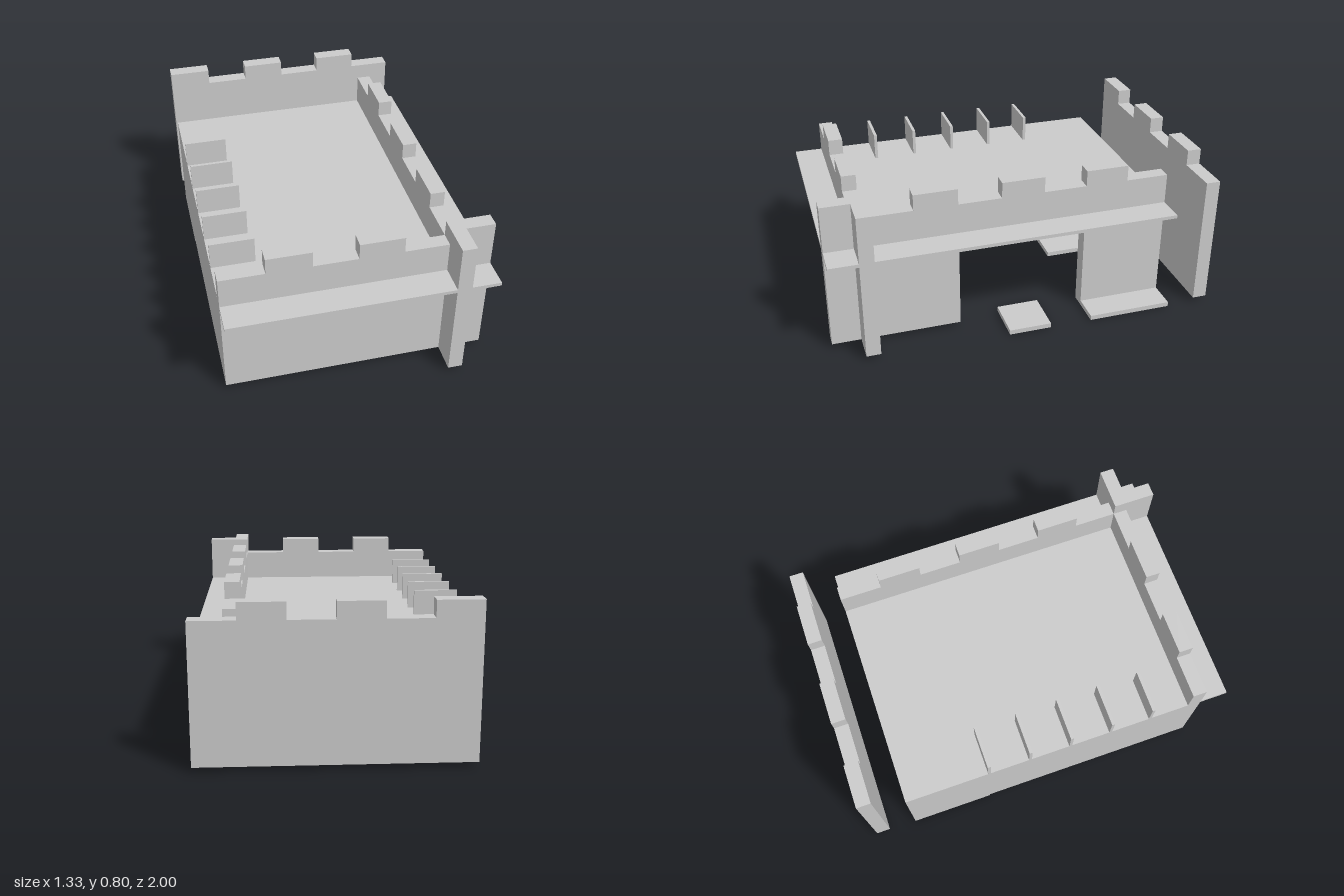
import * as THREE from 'three';

const U = 2 / 9;          // battlement module
const T = U / 3;          // wall thickness
const BASE = 0.025;       // underside of the walls
const FLOOR = 0.54;       // underside of the floor slab
const DECK = 0.558;       // top of the floor slab
const LOW = 0.717, HIGH = 0.8;

export function createModel() {
  const group = new THREE.Group();
  const mat = new THREE.MeshStandardMaterial({ color: 0xcccccc, flatShading: true });

  const add = (name, geometry) => {
    const mesh = new THREE.Mesh(geometry, mat);
    mesh.name = name;
    group.add(mesh);
    return mesh;
  };

  // Box given by its limits on each axis
  const box = (name, x0, x1, y0, y1, z0, z1) =>
    add(name, new THREE.BoxGeometry(x1 - x0, y1 - y0, z1 - z0))
      .position.set((x0 + x1) / 2, (y0 + y1) / 2, (z0 + z1) / 2);

  // Wall outline with one battlement cell per pattern digit (1 = raised)
  const wall = (name, start, pattern, opening) => {
    const end = start + pattern.length * U;
    const pts = [[start, BASE]];
    if (opening) {
      pts.push([opening[0], BASE], [opening[0], FLOOR], [opening[1], FLOOR], [opening[1], BASE]);
    }
    pts.push([end, BASE]);
    for (let i = pattern.length - 1; i >= 0; i--) {
      const y = pattern[i] === '1' ? HIGH : LOW;
      pts.push([start + (i + 1) * U, y], [start + i * U, y]);
    }
    const shape = new THREE.Shape(pts.map(([u, y]) => new THREE.Vector2(u, y)));
    return add(name, new THREE.ExtrudeGeometry(shape, { depth: T, bevelEnabled: false }));
  };

  // Battlemented walls
  wall('frontWall', -3 * U, '01010').position.z = 3.5 * U;
  wall('backWall', -3 * U, '101010').position.z = -1;
  const side = wall('openSideWall', -3.5 * U, '0101010', [-1.5 * U, 1.5 * U]);
  side.rotation.y = Math.PI / 2;
  side.position.x = 2 * U;

  // Plain wall below the floor
  box('plainSideWall', -3 * U, -3 * U + T, BASE, FLOOR, -3.5 * U, 3.5 * U);

  // Floor slab, projecting past the front and open side
  box('floorSlab', -3 * U, 3 * U, FLOOR, DECK, -3.5 * U, 1);

  // Corner buttress: two crossing arms
  box('buttressFrontArm', 2 * U, 2 * U + T, BASE, HIGH, 3.5 * U, 1);
  box('buttressSideArm', 2 * U + T, 3 * U, BASE, HIGH, 3.5 * U, 3.5 * U + T);

  // Thin upright fins along the plain side
  for (let i = 0; i < 5; i++) {
    const z = (i - 1.5) * U;
    box('fin', -3 * U, -2 * U, DECK, 0.7, z, z + 0.016);
  }

  // Ground plates, in modules: x0, x1, z0, z1
  const plates = [
    [1, 3, -3.5, -2.5], [2, 3, -2.5, -1.5],
    [2, 3, -0.5, 0.5],
    [-1, 0, -3.5, -1.5],
    [-3, -2, -3.5, -1.5],
  ];
  for (const [x0, x1, z0, z1] of plates) {
    box('groundPlate', x0 * U, x1 * U, 0, BASE, z0 * U, z1 * U);
  }

  return group;
}
